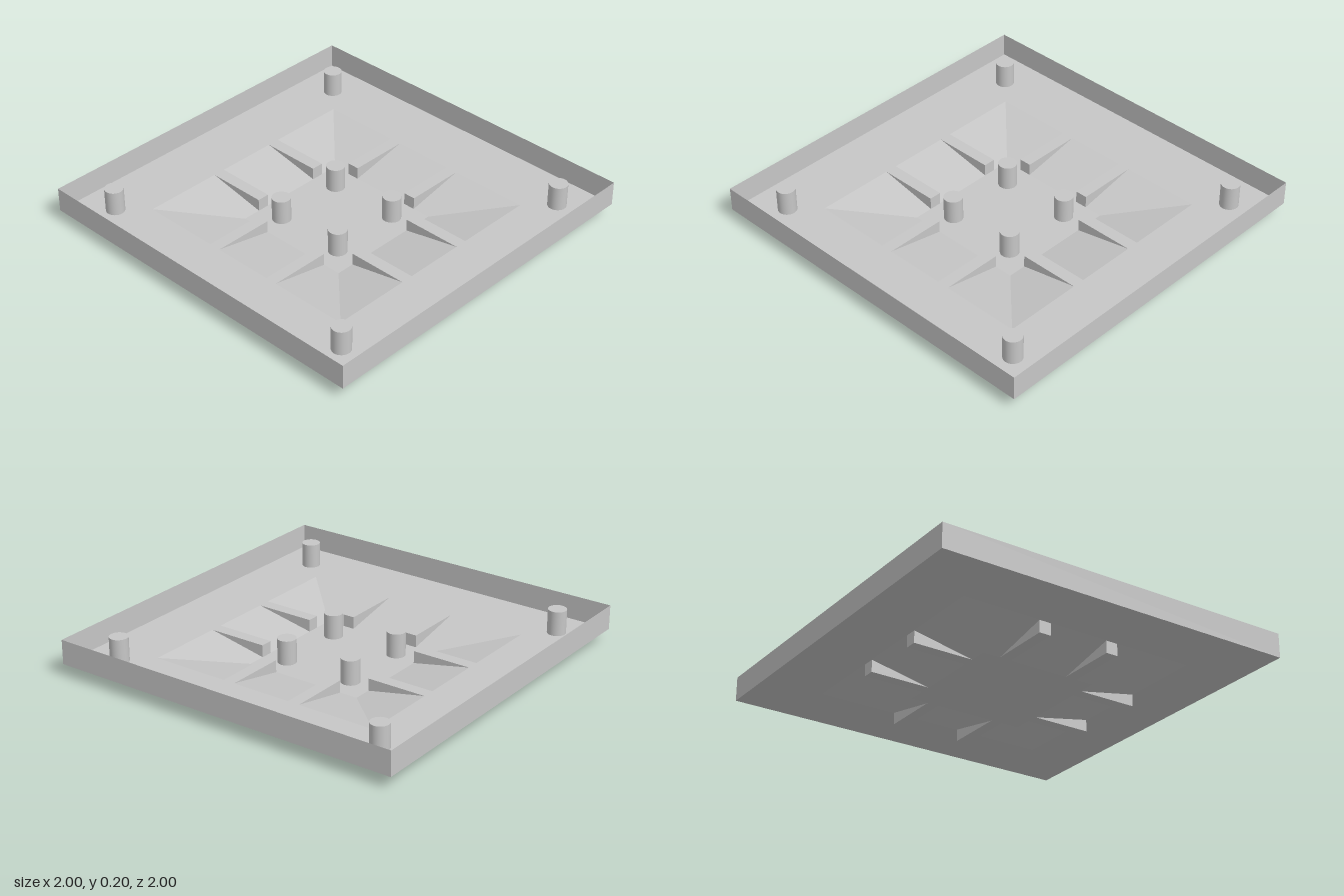
import * as THREE from 'three';

export function createModel() {
  const grey = new THREE.MeshStandardMaterial({ color: 0xc6c6c6, side: THREE.DoubleSide });
  grey.name = 'light grey';
  const model = new THREE.Group();
  model.name = 'tray';

  const FLOOR = 0.0667, RIM = 0.2, OUTER = 0.6667, INNER = 0.3333;

  const add = (name, geometry, x, y, z) => {
    const mesh = new THREE.Mesh(geometry, grey);
    mesh.name = name;
    mesh.position.set(x, y, z);
    model.add(mesh);
    return mesh;
  };

  // Thin square shell: centre pan, slopes, floor and upright rim (half-width, height)
  const profile = [[0, 0], [INNER, 0], [OUTER, FLOOR], [1, FLOOR], [1, RIM]]
    .map(([half, y]) => new THREE.Vector2(half * Math.SQRT2, y));
  const shell = new THREE.LatheGeometry(profile, 4, Math.PI / 4).toNonIndexed();
  shell.computeVertexNormals();
  add('trayShell', shell, 0, 0, 0);

  // Two block ribs through each of the four slopes
  const rib = new THREE.BoxGeometry(0.0667, FLOOR, OUTER - INNER);
  const mid = (OUTER + INNER) / 2;
  for (const side of [-1, 1]) {
    for (const offset of [-0.2, 0.2]) {
      add('slopeRib', rib, offset, FLOOR / 2, side * mid);
      add('slopeRib', rib, side * mid, FLOOR / 2, offset).rotation.y = Math.PI / 2;
    }
  }

  // Pegs: four on the centre pan, four near the floor corners
  const pegHeight = RIM - FLOOR;
  const peg = new THREE.CylinderGeometry(0.05, 0.05, pegHeight, 32);
  for (const sx of [-1, 1]) {
    for (const sz of [-1, 1]) {
      add('centrePeg', peg, sx * 0.2, pegHeight / 2, sz * 0.2);
      add('cornerPeg', peg, sx * 0.8, FLOOR + pegHeight / 2, sz * 0.8);
    }
  }
  return model;
}
